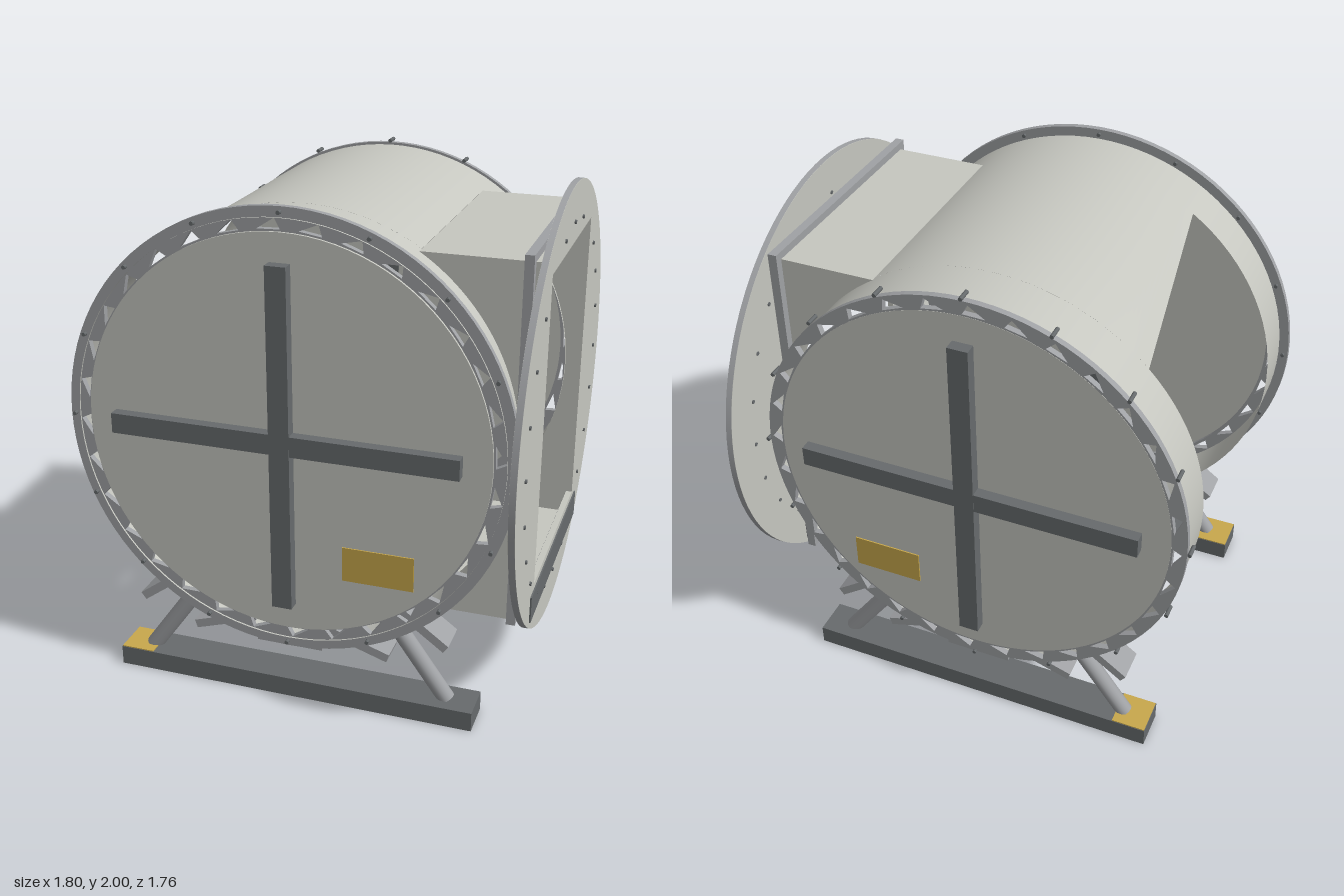
import * as THREE from 'three';

const CX = -0.02, CY = 1.12, R = 0.84;
const rad = THREE.MathUtils.degToRad;

const mat = (name, color, side = THREE.FrontSide) => {
  const m = new THREE.MeshStandardMaterial({ color, side });
  m.name = name;
  return m;
};

// Curved sheet of the drum between z0 and z1; angles in degrees, [at z0, at z1]
function drumSheet(z0, z1, from, to, n = 64) {
  const pos = [], nor = [], idx = [];
  for (let i = 0; i <= n; i++) {
    [z0, z1].forEach((z, k) => {
      const a = rad(from[k] + (to[k] - from[k]) * i / n);
      pos.push(CX + R * Math.cos(a), CY + R * Math.sin(a), z);
      nor.push(Math.cos(a), Math.sin(a), 0);
    });
    if (i < n) {
      const a = 2 * i;
      idx.push(a, a + 2, a + 3, a, a + 3, a + 1);
    }
  }
  const g = new THREE.BufferGeometry();
  g.setAttribute('position', new THREE.Float32BufferAttribute(pos, 3));
  g.setAttribute('normal', new THREE.Float32BufferAttribute(nor, 3));
  g.setIndex(idx);
  return g;
}

function rectangle(w, y0, y1, Type = THREE.Shape) {
  return new Type([[-w, y0], [w, y0], [w, y1], [-w, y1]].map(p => new THREE.Vector2(...p)));
}

const extrude = (shape, depth) =>
  new THREE.ExtrudeGeometry(shape, { depth, bevelEnabled: false, curveSegments: 48 });

// Plate drawn in the side plane, from x0 to x1
const sidePlate = (shape, x0, x1) => extrude(shape, x1 - x0).rotateY(Math.PI / 2).translate(x0, 0, 0);

// Rim ring with a row of triangular gaps
function rimShape(outer) {
  const s = new THREE.Shape().absarc(0, 0, outer, 0, Math.PI * 2);
  s.holes.push(new THREE.Path().absarc(0, 0, 0.785, 0, Math.PI * 2, true));
  for (let i = 0; i < 32; i++) {
    const a = i * Math.PI / 16;
    const p = (r, d) => new THREE.Vector2(r * Math.cos(a + d), r * Math.sin(a + d));
    s.holes.push(new THREE.Path([p(0.797, 0), p(0.838, 0.025), p(0.799, 0.11)]));
  }
  return s;
}

export function createModel() {
  const root = new THREE.Group();
  root.name = 'drumHousing';
  const shell = mat('light grey paint', 0xc6c7c0, THREE.DoubleSide);
  const paint = mat('light grey plate', 0xc6c7c0);
  const steel = mat('mid grey steel', 0xa0a2a5);
  const dark = mat('dark grey steel', 0x676b6d);
  const yellow = mat('ochre label', 0xc8a84c);

  const add = (name, geo, material, x = 0, y = 0, z = 0) => {
    const m = new THREE.Mesh(geo, material);
    m.name = name;
    m.position.set(x, y, z);
    root.add(m);
    return m;
  };
  const box = (name, material, x0, x1, y0, y1, z0, z1) =>
    add(name, new THREE.BoxGeometry(x1 - x0, y1 - y0, z1 - z0), material,
      (x0 + x1) / 2, (y0 + y1) / 2, (z0 + z1) / 2);

  // Drum: closed bands at the ends, roof and floor between the two side openings
  add('drumBackBand', drumSheet(-0.68, -0.46, [0, 0], [360, 360], 96), shell);
  add('drumFrontBand', drumSheet(0.45, 0.68, [0, 0], [360, 360], 96), shell);
  add('drumRoof', drumSheet(-0.46, 0.45, [57.7, 57.7], [135.6, 124]), shell);
  add('drumFloor', drumSheet(-0.46, 0.45, [233, 233], [302.3, 302.3]), shell);

  // Both ends: cover, rim, cross brace, label, bolts
  for (const s of [1, -1]) {
    const end = s > 0 ? 'front' : 'back';
    add(end + 'Cover', new THREE.CylinderGeometry(0.79, 0.79, 0.02, 96).rotateX(Math.PI / 2),
      paint, CX, CY, s * 0.673);
    add(end + 'Rim', extrude(rimShape(s > 0 ? 0.88 : 0.85), 0.025), steel, CX, CY, s > 0 ? 0.648 : -0.682);
    const zs = (a, b) => s > 0 ? [a, b] : [-b, -a];
    box(end + 'BraceVertical', dark, CX - 0.04, CX + 0.04, 0.44, 1.80, ...zs(0.66, 0.73));
    box(end + 'BraceHorizontal', dark, CX - 0.68, CX + 0.68, 1.08, 1.16, ...zs(0.664, 0.728));
    box(end + 'Label', yellow, 0.21, 0.49, 0.58, 0.72, ...zs(0.68, 0.688));
    for (let i = 0; i < 16; i++) {
      const a = i * Math.PI / 8;
      add(end + 'RimBolt', new THREE.CylinderGeometry(0.008, 0.008, 0.055, 8).rotateX(Math.PI / 2),
        dark, CX + 0.86 * Math.cos(a), CY + 0.86 * Math.sin(a), s * 0.663);
    }
  }

  // Duct: side walls follow the drum, flat roof and floor
  const a0 = Math.asin(0.71 / R);
  const wall = new THREE.Shape();
  wall.moveTo(0.87, 0.41);
  wall.lineTo(0.87, 1.83);
  wall.absarc(CX, CY, R, a0, -a0, true);
  for (const s of [1, -1]) {
    add('ductSide', extrude(wall, 0.012), paint, 0, 0, s * 0.478 - 0.006);
  }
  box('ductRoof', paint, 0.43, 0.87, 1.818, 1.83, -0.484, 0.484);
  box('ductFloor', paint, 0.43, 0.87, 0.41, 0.422, -0.484, 0.484);

  // Collar around the duct mouth
  const collar = rectangle(0.515, 0.405, 1.86);
  collar.holes.push(rectangle(0.478, 0.42, 1.82, THREE.Path));
  add('ductCollar', sidePlate(collar, 0.81, 0.845), steel);

  // Round flange with a rectangular mouth
  const flange = new THREE.Shape().absarc(0, CY, 0.88, 0, Math.PI * 2);
  flange.holes.push(rectangle(0.42, 0.545, 1.77, THREE.Path));
  add('flange', sidePlate(flange, 0.868, 0.893), paint);
  const edge = new THREE.CylinderGeometry(0.881, 0.881, 0.024, 96, 1, true).rotateZ(Math.PI / 2);
  add('flangeEdge', edge, steel, 0.8805, CY, 0);
  box('flangeSill', dark, 0.86, 0.899, 0.41, 0.52, -0.485, 0.485);
  for (let i = 0; i < 24; i++) {
    const a = i * Math.PI / 12;
    const y = CY + 0.735 * Math.sin(a), z = 0.735 * Math.cos(a);
    if (Math.abs(z) < 0.42 && y > 0.545 && y < 1.77) continue;
    add('flangeBolt', new THREE.CylinderGeometry(0.008, 0.008, 0.036, 8).rotateZ(Math.PI / 2),
      dark, 0.882, y, z);
  }

  // Base: skids, slanted legs and tilted saddle pads
  for (const s of [1, -1]) {
    const z = s * 0.59;
    box('skid', dark, -0.76, 0.725, 0, 0.08, z - 0.078, z + 0.078);
    box('skidPad', yellow, -0.758, -0.62, 0.08, 0.084, z - 0.076, z + 0.076);
    for (const t of [1, -1]) {
      const leg = add('leg', new THREE.CylinderGeometry(0.034, 0.034, 0.37, 20), steel,
        CX + t * 0.52, 0.225, z);
      leg.rotation.z = t * Math.atan2(0.2, 0.28);
    }
    for (const deg of [-36, -18, 0, 18, 36]) {
      const a = rad(deg);
      const pad = add('saddlePad', new THREE.BoxGeometry(0.27, 0.035, 0.135), steel,
        CX + 0.89 * Math.sin(a), CY - 0.875 * Math.cos(a), s * 0.585);
      pad.rotation.z = -a;
    }
  }
  return root;
}
